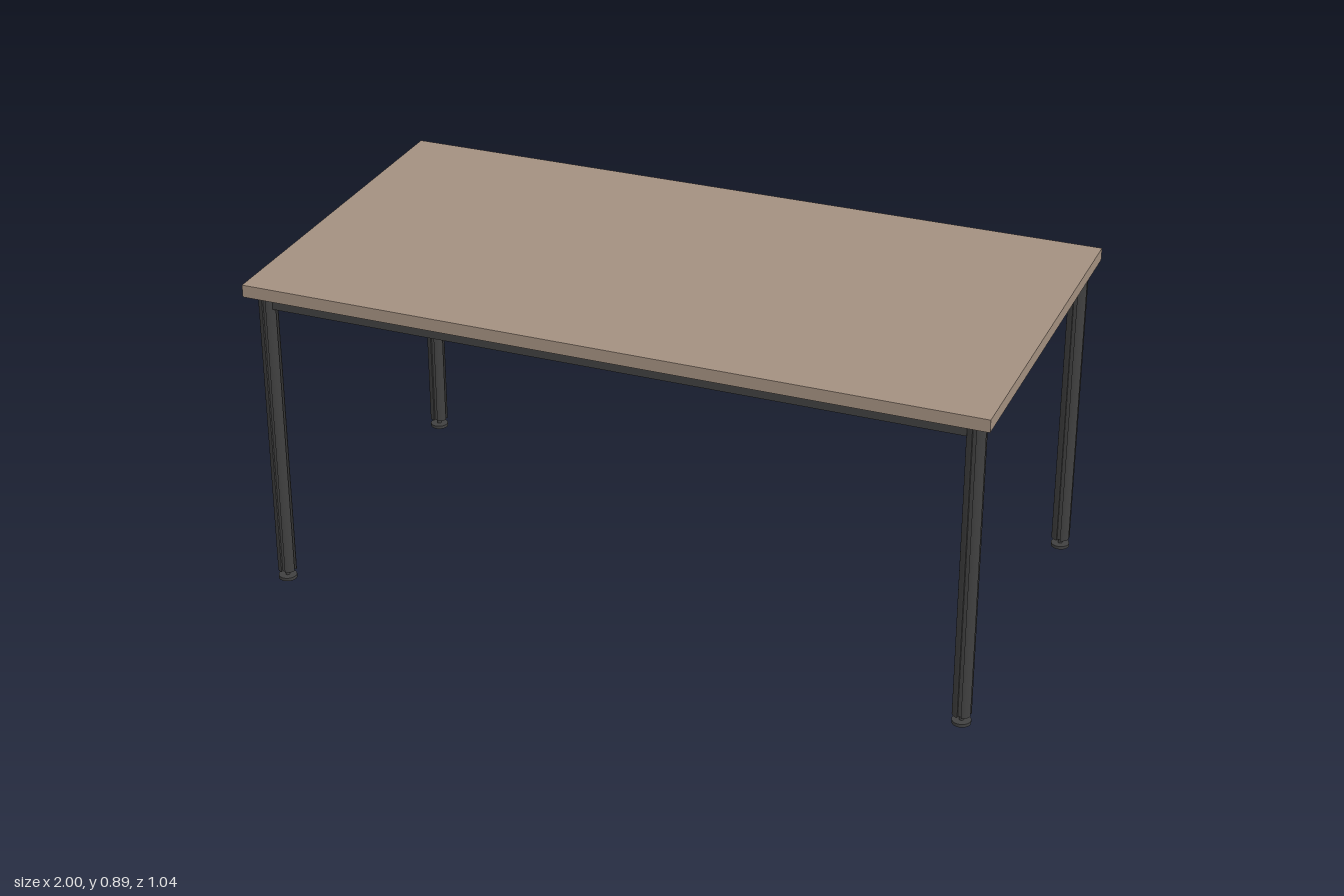
import * as THREE from 'three';

const wood = new THREE.MeshStandardMaterial({ color: 0xa39080 });
const steel = new THREE.MeshStandardMaterial({ color: 0x404040 });
const LEG_X = 0.955, LEG_Z = 0.472, LEG_R = 0.025;
const LEG_BOTTOM = 0.026, TOP_BOTTOM = 0.858, TOP_HEIGHT = 0.034;

function addMesh(parent, name, geometry, material, x, y, z) {
  const mesh = new THREE.Mesh(geometry, material);
  mesh.name = name;
  mesh.position.set(x, y, z);
  parent.add(mesh);
  return mesh;
}

// Round post section with a narrow slot on each of its four sides
function legGeometry() {
  const shape = new THREE.Shape();
  const half = 0.005, depth = 0.007;
  const a = Math.asin(half / LEG_R);
  for (let q = 0; q < 4; q++) {
    const turn = q * Math.PI / 2;
    const point = (x, y) => [x * Math.cos(turn) - y * Math.sin(turn), x * Math.sin(turn) + y * Math.cos(turn)];
    const floor = LEG_R - depth;
    if (q === 0) shape.moveTo(...point(floor, -half));
    else shape.lineTo(...point(floor, -half));
    shape.lineTo(...point(floor, half));
    shape.lineTo(...point(LEG_R * Math.cos(a), half));
    shape.absarc(0, 0, LEG_R, turn + a, turn + Math.PI / 2 - a, false);
  }
  shape.closePath();
  const geometry = new THREE.ExtrudeGeometry(shape, {
    depth: TOP_BOTTOM - LEG_BOTTOM, bevelEnabled: false, curveSegments: 8,
  });
  return geometry.rotateX(-Math.PI / 2);
}

export function createModel() {
  const table = new THREE.Group();
  table.name = 'table';

  // Table top
  addMesh(table, 'tableTop', new THREE.BoxGeometry(2, TOP_HEIGHT, 1.042), wood,
    0, TOP_BOTTOM + TOP_HEIGHT / 2, 0);

  // Slotted legs on levelling feet
  const leg = legGeometry();
  const stem = new THREE.CylinderGeometry(0.006, 0.006, 0.024, 16);
  const pad = new THREE.CylinderGeometry(0.025, 0.025, 0.009, 32);
  for (const sx of [-1, 1]) {
    for (const sz of [-1, 1]) {
      const group = new THREE.Group();
      group.name = (sz > 0 ? 'front' : 'back') + (sx > 0 ? 'Left' : 'Right') + 'Leg';
      group.position.set(sx * LEG_X, 0, sz * LEG_Z);
      addMesh(group, 'post', leg, steel, 0, LEG_BOTTOM, 0);
      addMesh(group, 'footStem', stem, steel, 0, 0.018, 0);
      addMesh(group, 'footPad', pad, steel, 0, 0.0055 - 0.001, 0);
      table.add(group);
    }
  }

  // Frame rails between the legs, just below the top
  const longRail = new THREE.BoxGeometry(2 * (LEG_X - LEG_R + 0.004), 0.031, 0.031);
  const shortRail = new THREE.BoxGeometry(0.031, 0.031, 2 * (LEG_Z - LEG_R + 0.004));
  for (const s of [-1, 1]) {
    addMesh(table, s > 0 ? 'frontRail' : 'backRail', longRail, steel, 0, 0.8345, s * LEG_Z);
    addMesh(table, s > 0 ? 'leftRail' : 'rightRail', shortRail, steel, s * LEG_X, 0.8345, 0);
  }
  return table;
}
